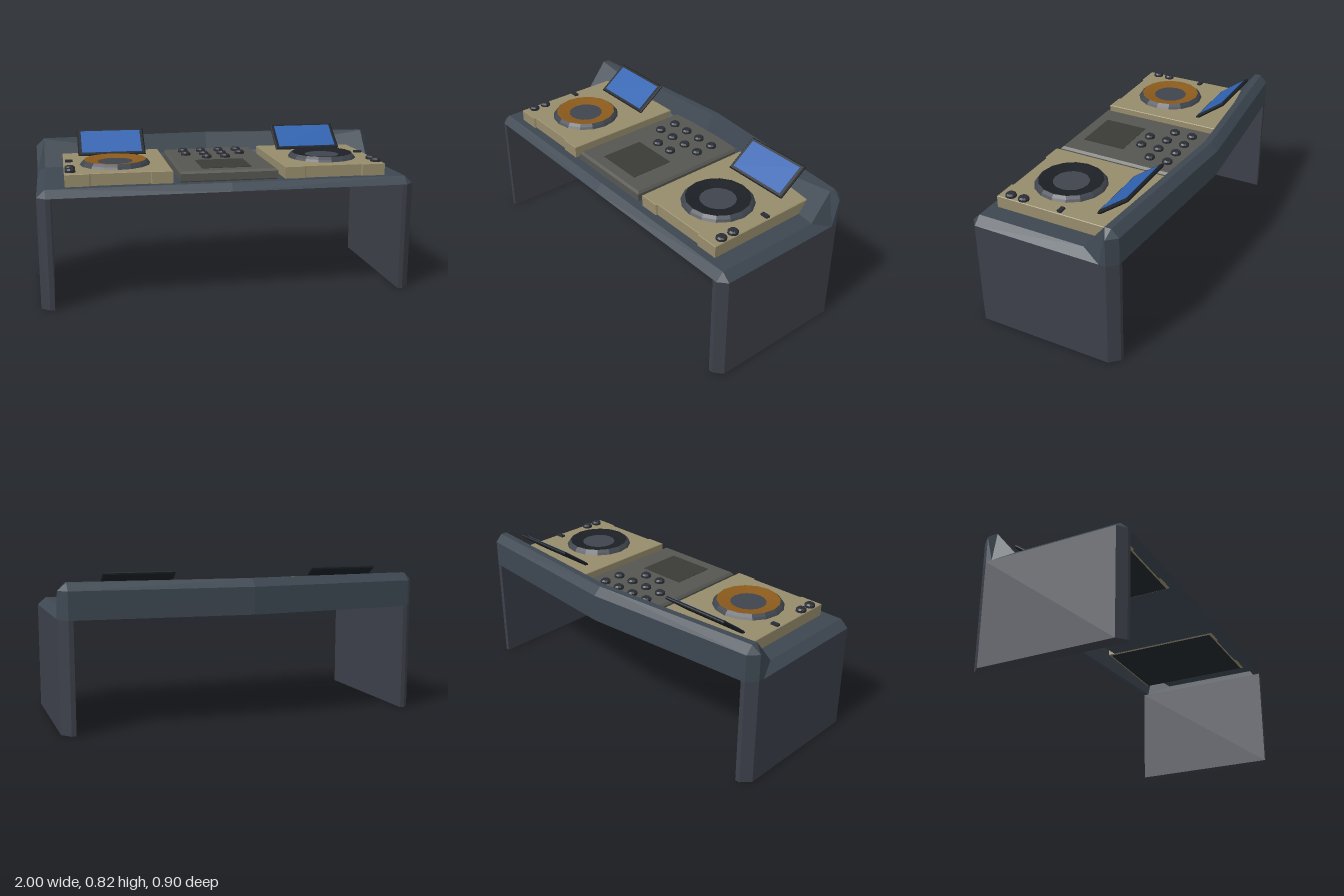
import * as THREE from 'three';

const mat = (color) => new THREE.MeshStandardMaterial({ color, flatShading: true });
const M = {
  frame: mat(0x3d4751), leg: mat(0x3d404a), deck: mat(0x968c6c), dark: mat(0x23282c),
  mixer: mat(0x555651), pad: mat(0x3a3b36), bezel: mat(0x1c2025), screen: mat(0x2f62b0),
  amber: mat(0x8a5a1c), knob: mat(0x2a2e35), hub: mat(0x3f444d),
};

function add(parent, name, geometry, material, x = 0, y = 0, z = 0) {
  const mesh = new THREE.Mesh(geometry, material);
  mesh.name = name;
  mesh.position.set(x, y, z);
  parent.add(mesh);
  return mesh;
}

// Plan outline of [x, z] points raised from y = 0 to h, with a chamfer c
function slab(points, h, c = 0) {
  const shape = new THREE.Shape(points.map(([x, z]) => new THREE.Vector2(x, -z)));
  const g = new THREE.ExtrudeGeometry(shape, {
    depth: h - 2 * c, bevelEnabled: c > 0, bevelSize: c, bevelThickness: c, bevelOffset: -c, bevelSegments: 1,
  });
  return g.rotateX(-Math.PI / 2).translate(0, c, 0);
}

const rect = (w, d) => [[-w / 2, d / 2], [w / 2, d / 2], [w / 2, -d / 2], [-w / 2, -d / 2]];

// Flat polygons for the +x half, mirrored to the other half
function mirroredFaces(polygons) {
  const pos = [];
  for (const p of polygons) {
    for (let i = 1; i < p.length - 1; i++) {
      pos.push(...p[0], ...p[i], ...p[i + 1]);
      for (const [x, y, z] of [p[0], p[i + 1], p[i]]) pos.push(-x, y, z);
    }
  }
  const g = new THREE.BufferGeometry();
  g.setAttribute('position', new THREE.Float32BufferAttribute(pos, 3));
  g.computeVertexNormals();
  return g;
}

// Chamfered tabletop with a raised, bowed back panel, hollow underneath
function tableGeometry() {
  const mid = (y, z) => [0, y, z], inset = (y, z) => [0.955, y, z];
  const outer = (y, z) => [1, y, z], inner = (y, z) => [0.93, y, z];
  const A0 = mid(0.585, 0.45), A = inset(0.585, 0.45);
  const B0 = mid(0.625, 0.41), B = inset(0.625, 0.41);
  const C = outer(0.585, 0.41), D = outer(0.585, -0.29);
  const E0 = mid(0.625, -0.32), E = inset(0.625, -0.185);
  const F = outer(0.73, -0.325), K = outer(0.585, -0.325);
  const G0 = mid(0.77, -0.375), G = inset(0.77, -0.3);
  const I0 = mid(0.77, -0.41), I = inset(0.77, -0.335);
  const H0 = mid(0.73, -0.45), H = inset(0.73, -0.375);
  const J0 = mid(0.585, -0.45), J = inset(0.585, -0.375);
  const L0 = mid(0.585, 0.41), L = inner(0.585, 0.41);
  const M0 = mid(0.615, 0.41), M1 = inner(0.615, 0.41);
  const N0 = mid(0.615, -0.32), N = inner(0.615, -0.185);
  const O0 = mid(0.73, -0.385), O = inner(0.73, -0.31);
  const P0 = mid(0.585, -0.42), P = inner(0.585, -0.345);
  return mirroredFaces([
    // front chamfer, corner, side chamfer, top
    [A0, A, B, B0], [A, C, B], [C, D, E, B], [B0, B, E, E0],
    // back panel: end wedge, slope, top, corners, back
    [D, F, G, E], [E0, E, G, G0], [G0, G, I, I0], [G, F, I], [F, H, I],
    [H, H0, I0, I], [D, K, F], [K, J, H, F], [J, J0, H0, H],
    // underside
    [A0, L0, L, A], [L, L0, M0, M1], [M0, N0, N, M1], [N0, O0, O, N],
    [P0, P, O, O0], [P0, J0, J, P], [P, L, M1, N, O],
  ]);
}

function addKnob(parent, name, x, y, z) {
  const profile = [[0.028, 0], [0.028, 0.012], [0.02, 0.02], [0, 0.02]];
  add(parent, name, new THREE.LatheGeometry(profile.map((p) => new THREE.Vector2(...p)), 10), M.knob, x, y, z);
}

// One player deck; s is the side, ring the jog wheel's ring material
function makeDeck(s, ring) {
  const deck = new THREE.Group();
  deck.name = s > 0 ? 'leftDeck' : 'rightDeck';
  const outline = [
    [0.3, 0.37], [0.41, 0.37], [0.415, 0.36], [0.725, 0.36], [0.73, 0.37],
    [0.855, 0.37], [0.855, -0.315], [0.3, -0.315],
  ].map(([x, z]) => [s * x, z]);
  add(deck, 'deckBody', slab(outline, 0.078, 0.003), M.deck, 0, 0.612, 0);
  add(deck, 'deckUnderside', new THREE.BoxGeometry(0.54, 0.004, 0.655), M.dark, s * 0.578, 0.612, 0.025);

  // Jog wheel: rim, sloping ring and sunken hub
  const lathe = (pts) => new THREE.LatheGeometry(pts.map((p) => new THREE.Vector2(...p)), 16);
  const x = s * 0.58, z = 0.105;
  add(deck, 'jogRim', lathe([[0.19, 0], [0.182, 0.012], [0.168, 0.026]]), M.hub, x, 0.69, z);
  add(deck, 'jogRing', lathe([[0.168, 0.026], [0.155, 0.025], [0.095, 0.014]]), ring, x, 0.69, z);
  add(deck, 'jogHub', lathe([[0.095, 0.014], [0, 0.014]]), M.hub, x, 0.69, z);

  for (const kz of [0.23, 0.305]) addKnob(deck, 'deckButton', s * 0.825, 0.69, kz);
  add(deck, 'deckSwitch', new THREE.BoxGeometry(0.042, 0.012, 0.022), M.knob, s * 0.825, 0.695, 0.015);

  // Tilted screen
  const screen = new THREE.Group();
  screen.name = 'screen';
  screen.position.set(s * 0.577, 0.75, -0.237);
  screen.rotation.x = 0.64;
  add(screen, 'screenFrame', slab(rect(0.382, 0.206), 0.018, 0.006), M.bezel, 0, -0.009, 0);
  add(screen, 'screenDisplay', new THREE.BoxGeometry(0.34, 0.004, 0.17), M.screen, 0, 0.009, 0);
  deck.add(screen);
  return deck;
}

function makeMixer() {
  const mixer = new THREE.Group();
  mixer.name = 'mixer';
  add(mixer, 'mixerBody', slab(rect(0.525, 0.71), 0.063, 0.012), M.mixer, 0, 0.619, 0.012);
  add(mixer, 'mixerPad', new THREE.BoxGeometry(0.27, 0.004, 0.245), M.pad, 0, 0.682, 0.172);
  const columns = [-0.16, -0.055, 0.05, 0.155];
  for (const [z, xs] of [[-0.23, columns], [-0.125, columns], [-0.02, columns.slice(1, 3)]]) {
    for (const x of xs) addKnob(mixer, 'mixerKnob', x, 0.682, z);
  }
  return mixer;
}

export function createModel() {
  const model = new THREE.Group();
  model.name = 'djBooth';
  add(model, 'tableTop', tableGeometry(), M.frame);
  for (const s of [1, -1]) {
    const plan = [[0.93, 0.45], [0.955, 0.45], [1, 0.41], [1, -0.325], [0.955, -0.375], [0.93, -0.375]];
    add(model, s > 0 ? 'leftLeg' : 'rightLeg', slab(plan.map(([x, z]) => [s * x, z]), 0.585), M.leg);
    model.add(makeDeck(s, s > 0 ? M.bezel : M.amber));
  }
  model.add(makeMixer());
  return model;
}
